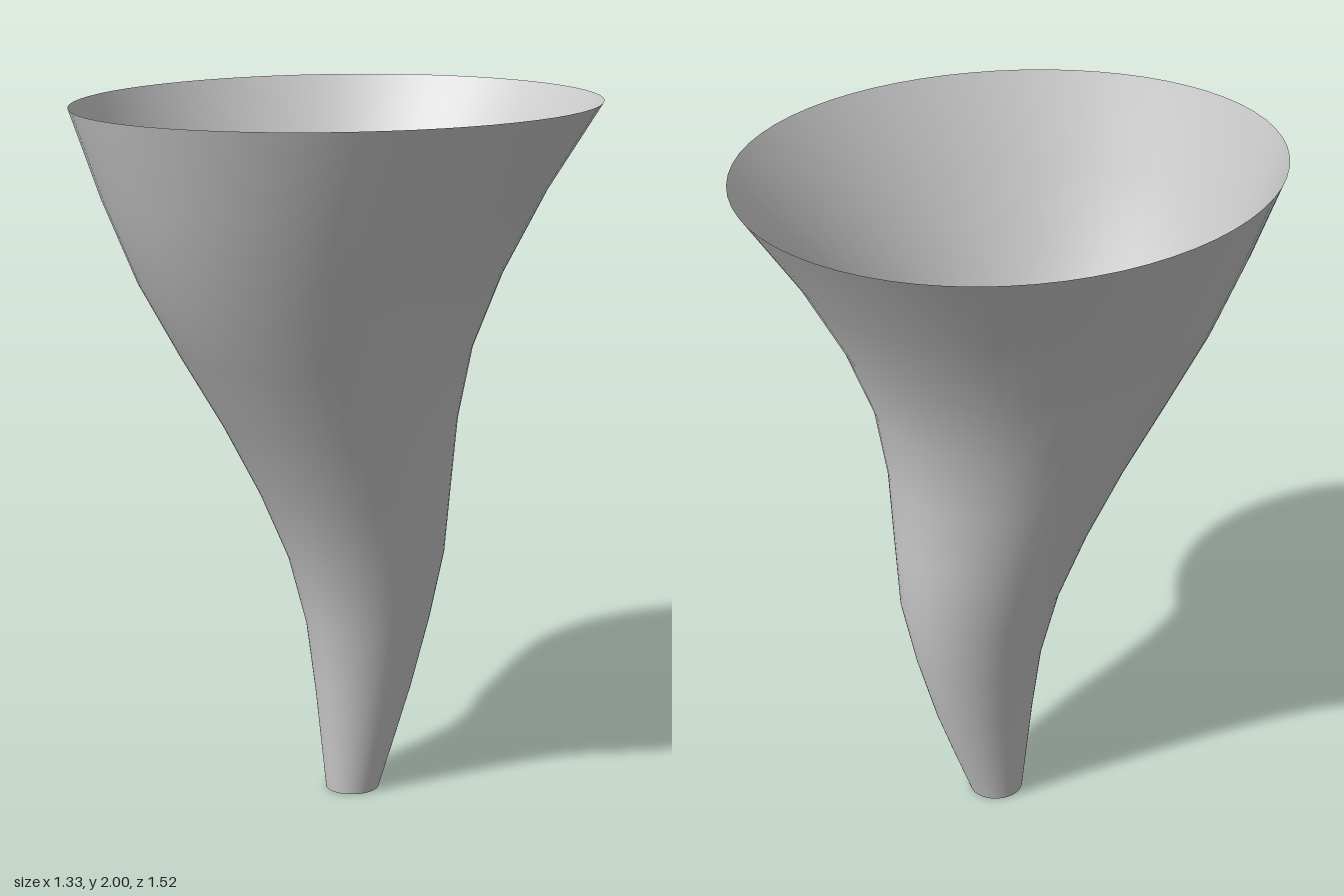
import * as THREE from 'three';

// Cross-sections from spout to rim: [height, half width, front z, back z]
const SECTIONS = [
  [0, 0.075, 0.02, -0.135],
  [0.15, 0.1, 0.035, -0.19],
  [0.3, 0.125, 0.05, -0.243],
  [0.5, 0.16, 0.075, -0.3],
  [0.7, 0.2, 0.13, -0.343],
  [0.9, 0.245, 0.22, -0.352],
  [1.11, 0.3, 0.335, -0.36],
  [1.32, 0.367, 0.465, -0.393],
  [1.53, 0.45, 0.585, -0.475],
  [1.76, 0.55, 0.68, -0.6],
  [2, 0.665, 0.76, -0.76],
];
const SIDES = 64;

// Lofts closed oval rings into one smooth open surface
function loft(sections) {
  const positions = [];
  const indices = [];
  sections.forEach(([y, halfWidth, front, back], row) => {
    const egg = 0.04 * y / 2; // the oval is slightly fuller at the back
    for (let i = 0; i < SIDES; i++) {
      const t = (i / SIDES) * Math.PI * 2;
      const s = Math.sin(t);
      positions.push(
        halfWidth * Math.cos(t) * (1 - egg * s),
        y,
        (front + back) / 2 + s * (front - back) / 2,
      );
      if (row === sections.length - 1) continue;
      const a = row * SIDES + i;
      const b = row * SIDES + (i + 1) % SIDES;
      indices.push(a, a + SIDES, b, b, a + SIDES, b + SIDES);
    }
  });
  const geometry = new THREE.BufferGeometry();
  geometry.setAttribute('position', new THREE.Float32BufferAttribute(positions, 3));
  geometry.setIndex(indices);
  geometry.computeVertexNormals();
  return geometry;
}

export function createModel() {
  const group = new THREE.Group();
  group.name = 'curvedFunnel';

  // Thin wall, open at the spout and at the rim
  const material = new THREE.MeshStandardMaterial({ color: 0xcccccc, side: THREE.DoubleSide });
  const wall = new THREE.Mesh(loft(SECTIONS), material);
  wall.name = 'funnelWall';
  group.add(wall);
  return group;
}
